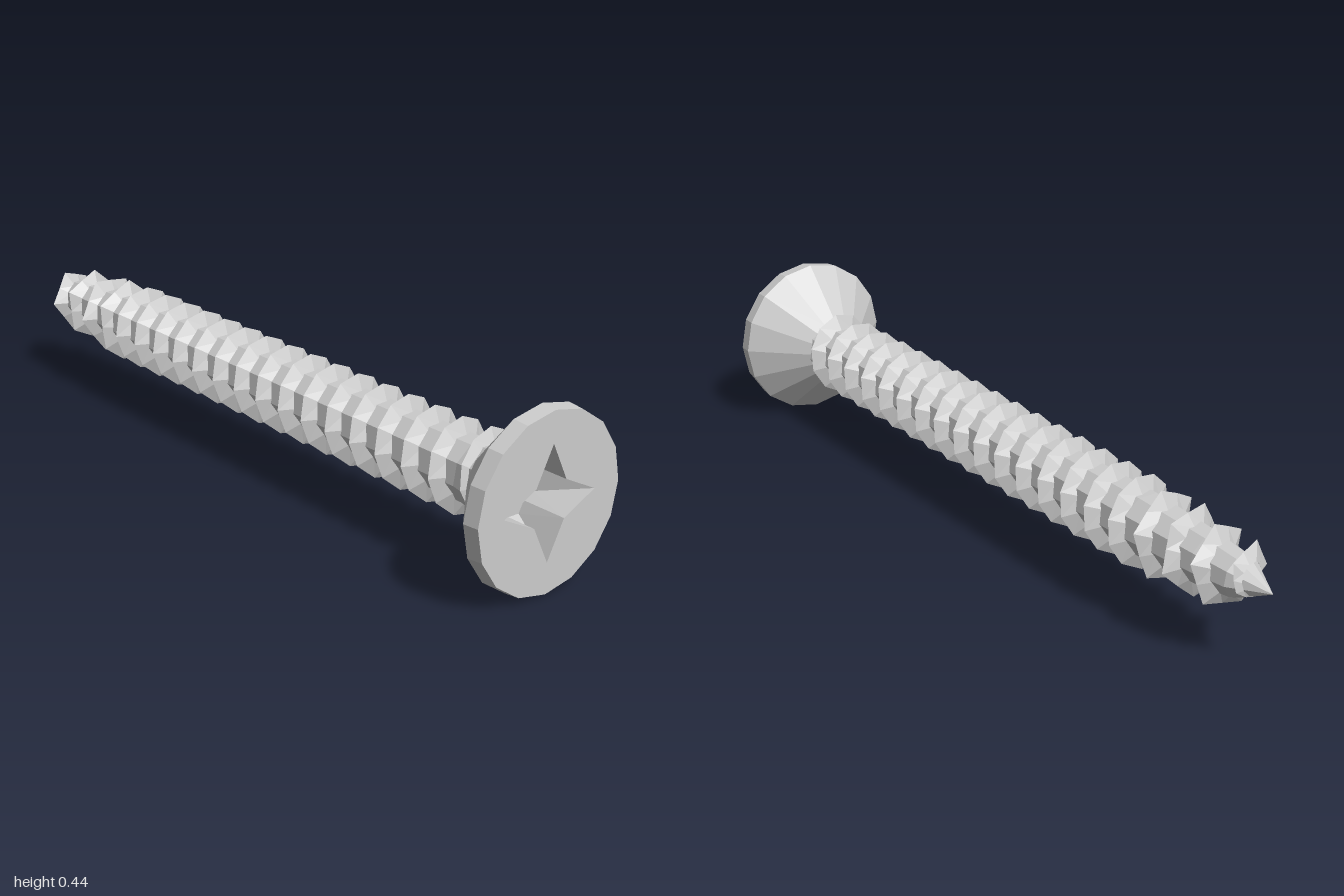
import * as THREE from 'three';

const AXIS_Y = 0.22, SIDES = 16, PITCH = 0.09;
const material = new THREE.MeshStandardMaterial({ color: 0xcccccc, flatShading: true, side: THREE.DoubleSide });

// Radius of the shaft along z: straight with a small flare at the neck, then tapering to the point
const CORE = [[-1, 0], [-0.9, 0.052], [-0.8, 0.064], [-0.58, 0.077], [0.78, 0.078], [0.86, 0.092]];
function coreRadius(z) {
  const i = CORE.findIndex(([end]) => z <= end);
  const [z0, r0] = CORE[i - 1], [z1, r1] = CORE[i];
  return THREE.MathUtils.mapLinear(z, z0, z1, r0, r1);
}

// Faceted solid of revolution about z, from [z, radius] pairs
function turned(profile, sides) {
  const points = profile.map(([z, r]) => new THREE.Vector2(r, z));
  return new THREE.LatheGeometry(points, sides).rotateX(Math.PI / 2);
}

function fromTriangles(triangles) {
  const geometry = new THREE.BufferGeometry().setFromPoints(triangles);
  geometry.computeVertexNormals();
  return geometry;
}

// Pointed ridge winding round the shaft, jagged near the point
function threadGeometry() {
  const perTurn = 11, zStart = -0.95, zEnd = 0.84, zPhase = 0.78;
  const steps = Math.round(((zEnd - zStart) / PITCH) * perTurn);
  const section = (i) => {
    const z = zStart + (i / perTurn) * PITCH;
    const angle = ((z - zPhase) / PITCH) * Math.PI * 2;
    const core = coreRadius(z);
    const grow = Math.min(1, i / 6, (steps - i) / 5);
    const notch = z < -0.6 && i % 2 ? 0.6 : 1;
    const height = (z < -0.6 ? 0.038 : 0.034) * grow * notch;
    const half = 0.022 * Math.max(grow, 0.2);
    const at = (r, dz) => new THREE.Vector3(r * Math.cos(angle), r * Math.sin(angle), z + dz);
    return [at(core * 0.9, half), at(core + height, 0), at(core * 0.9, -half)];
  };
  const triangles = [];
  for (let i = 0; i < steps; i++) {
    const p = section(i), q = section(i + 1);
    for (let k = 0; k < 2; k++) triangles.push(p[k], p[k + 1], q[k + 1], p[k], q[k + 1], q[k]);
  }
  return fromTriangles(triangles);
}

// Cross recess: outline corners and the floor corners below them
const TIP = 0.139, INNER = 0.046, FLOOR_R = 0.074, FLOOR_W = 0.031, FLOOR_Z = 0.88;
function turn(x, y, z, quarter) {
  return new THREE.Vector3(x, y, z).applyAxisAngle(new THREE.Vector3(0, 0, 1), (quarter * Math.PI) / 2);
}

function recessGeometry() {
  const triangles = [], centre = new THREE.Vector3(0, 0, FLOOR_Z);
  for (let q = 0; q < 4; q++) {
    const tip = turn(TIP, 0, 1, q);
    const right = turn(INNER, -INNER, 1, q), left = turn(INNER, INNER, 1, q);
    const rightLow = turn(INNER, -INNER, FLOOR_Z, q), leftLow = turn(INNER, INNER, FLOOR_Z, q);
    const endRight = turn(FLOOR_R, -FLOOR_W, FLOOR_Z, q), endLeft = turn(FLOOR_R, FLOOR_W, FLOOR_Z, q);
    triangles.push(
      tip, endLeft, endRight, // sloping end
      right, tip, endRight, right, endRight, rightLow, // side walls
      tip, left, endLeft, left, leftLow, endLeft,
      centre, rightLow, endRight, centre, endRight, endLeft, centre, endLeft, leftLow, // floor
    );
  }
  return fromTriangles(triangles);
}

// Flat front of the head with the star-shaped opening
function faceGeometry(radius) {
  const rim = [], star = [];
  for (let i = 0; i < SIDES; i++) {
    const a = (i / SIDES) * Math.PI * 2;
    rim.push(new THREE.Vector2(radius * Math.cos(a), radius * Math.sin(a)));
  }
  for (let q = 0; q < 4; q++) {
    for (const p of [turn(TIP, 0, 0, q), turn(INNER, INNER, 0, q)]) star.push(new THREE.Vector2(p.x, p.y));
  }
  const shape = new THREE.Shape(rim);
  shape.holes.push(new THREE.Path(star));
  return new THREE.ShapeGeometry(shape).translate(0, 0, 1);
}

export function createModel() {
  const screw = new THREE.Group();
  screw.name = 'screw';
  const add = (name, geometry, parent) => {
    const mesh = new THREE.Mesh(geometry, material);
    mesh.name = name;
    parent.add(mesh);
  };

  // Countersunk head
  const head = new THREE.Group();
  head.name = 'head';
  add('headSide', turned([[0.83, 0.085], [0.96, 0.22], [1, 0.216]], SIDES), head);
  add('headFace', faceGeometry(0.216), head);
  add('crossRecess', recessGeometry(), head);

  // Shaft with pointed end, and its thread
  add('shaft', turned(CORE, 9), screw);
  add('thread', threadGeometry(), screw);

  screw.add(head);
  screw.position.y = AXIS_Y;
  const model = new THREE.Group();
  model.add(screw);
  return model;
}
